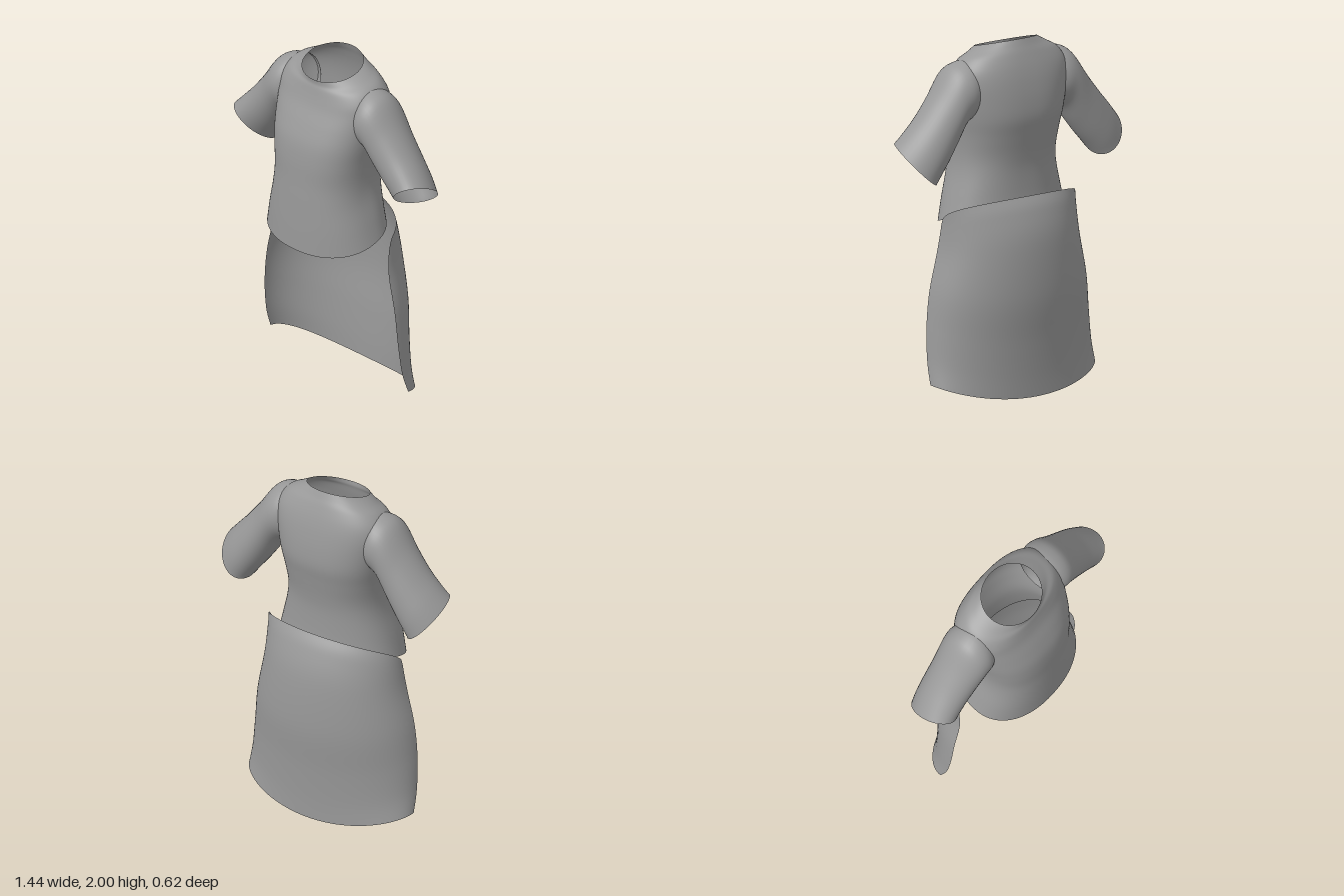
import * as THREE from 'three';

const cloth = new THREE.MeshStandardMaterial({ color: 0x999999, side: THREE.DoubleSide });
cloth.name = 'grey cloth';

// Smoothly interpolate a table of section values at t in 0..1
function sample(rows, t) {
  const f = t * (rows.length - 1);
  const i = Math.min(Math.floor(f), rows.length - 2);
  const k = f - i;
  const row = (n) => rows[Math.max(0, Math.min(rows.length - 1, n))];
  return rows[i].map((p1, c) => {
    const p0 = row(i - 1)[c], p2 = row(i + 1)[c], p3 = row(i + 2)[c];
    const m1 = (p2 - p0) / 2, m2 = (p3 - p1) / 2;
    return p1 + k * m1 + k * k * (3 * (p2 - p1) - 2 * m1 - m2) + k * k * k * (2 * (p1 - p2) + m1 + m2);
  });
}

// Open-ended surface through cross-sections; point(values, u, t) gives [x, y, z]
function loft(name, rows, rings, segments, closed, point) {
  const positions = [], index = [];
  const count = closed ? segments : segments + 1;
  for (let i = 0; i <= rings; i++) {
    const values = sample(rows, i / rings);
    for (let j = 0; j < count; j++) positions.push(...point(values, j / segments, i / rings));
  }
  for (let i = 0; i < rings; i++) {
    for (let j = 0; j < segments; j++) {
      const a = i * count + j, b = i * count + ((j + 1) % count);
      index.push(a, b, a + count, b, b + count, a + count);
    }
  }
  const geometry = new THREE.BufferGeometry();
  geometry.setAttribute('position', new THREE.Float32BufferAttribute(positions, 3));
  geometry.setIndex(index);
  geometry.computeVertexNormals();
  const mesh = new THREE.Mesh(geometry, cloth);
  mesh.name = name;
  return mesh;
}

const power = (v, e) => Math.sign(v) * Math.pow(Math.abs(v), e);

// Shirt body, hem to collar: front y, front z, back y, back z, half width, squareness
const bodyRows = [
  [0.91, 0.312, 1.06, -0.2, 0.37, 2.2],
  [1.05, 0.31, 1.15, -0.195, 0.34, 2.3],
  [1.2, 0.305, 1.27, -0.195, 0.305, 2.4],
  [1.32, 0.3, 1.36, -0.205, 0.295, 2.4],
  [1.45, 0.295, 1.47, -0.225, 0.303, 2.5],
  [1.56, 0.28, 1.57, -0.243, 0.32, 2.5],
  [1.66, 0.245, 1.67, -0.24, 0.335, 2.5],
  [1.75, 0.205, 1.77, -0.225, 0.345, 2.5],
  [1.81, 0.185, 1.85, -0.205, 0.34, 2.4],
  [1.86, 0.172, 1.92, -0.18, 0.3, 2.2],
  [1.885, 0.165, 1.965, -0.16, 0.24, 2],
  [1.91, 0.167, 2.0, -0.145, 0.18, 2],
];

function bodyPoint([yf, zf, yb, zb, w, n], u) {
  const a = u * Math.PI * 2;
  const s = power(Math.sin(a), 2 / n), c = power(Math.cos(a), 2 / n);
  return [w * s, (yf + yb) / 2 + (c * (yf - yb)) / 2, (zf + zb) / 2 + (c * (zf - zb)) / 2];
}

// Sleeve, shoulder to cuff: top x, top y, bottom x, bottom y, centre z, half depth
const sleeveRows = [
  [0.26, 1.895, 0.24, 1.56, -0.015, 0.13],
  [0.33, 1.885, 0.29, 1.56, -0.01, 0.155],
  [0.4, 1.845, 0.335, 1.53, -0.01, 0.155],
  [0.49, 1.72, 0.385, 1.45, -0.015, 0.147],
  [0.58, 1.605, 0.44, 1.37, -0.02, 0.143],
  [0.655, 1.52, 0.49, 1.305, -0.02, 0.14],
  [0.715, 1.453, 0.525, 1.257, -0.015, 0.135],
];

function sleevePoint(side) {
  return ([tx, ty, bx, by, zc, depth], u, t) => {
    const a = u * Math.PI * 2 * side;
    const c = Math.cos(a), s = Math.sin(a);
    // The cuff opening turns gradually toward the front
    const turn = t * t;
    return [
      side * ((tx + bx) / 2 + (c * (tx - bx)) / 2 - 0.03 * turn * s),
      (ty + by) / 2 + (c * (ty - by)) / 2 + 0.04 * turn * s,
      zc + depth * s + 0.045 * turn * c,
    ];
  };
}

// Half skirt, waist to hem: side y, side z, back y, back z, half width, edge curve
const skirtRows = [
  [0.985, 0, 1.12, -0.205, 0.435, 0.5],
  [0.92, 0.012, 1.04, -0.25, 0.437, 0.7],
  [0.8, 0.025, 0.87, -0.295, 0.452, 1],
  [0.6, 0.027, 0.58, -0.31, 0.498, 1.2],
  [0.4, 0.022, 0.32, -0.29, 0.52, 1.4],
  [0.22, 0, 0.13, -0.28, 0.53, 1.6],
  [0.095, -0.04, 0.0, -0.278, 0.537, 1.8],
];

function skirtPoint([ys, zs, yb, zb, w, curve], u) {
  const a = (u - 0.5) * Math.PI;
  const c = Math.max(0, Math.cos(a));
  return [w * Math.sin(a), ys + (yb - ys) * Math.pow(c, curve), zs + (zb - zs) * c];
}

export function createModel() {
  const group = new THREE.Group();
  group.name = 'outfit';
  group.add(loft('shirtBody', bodyRows, 55, 72, true, bodyPoint));
  group.add(loft('leftSleeve', sleeveRows, 30, 40, true, sleevePoint(1)));
  group.add(loft('rightSleeve', sleeveRows, 30, 40, true, sleevePoint(-1)));
  group.add(loft('backSkirt', skirtRows, 36, 56, false, skirtPoint));
  return group;
}
